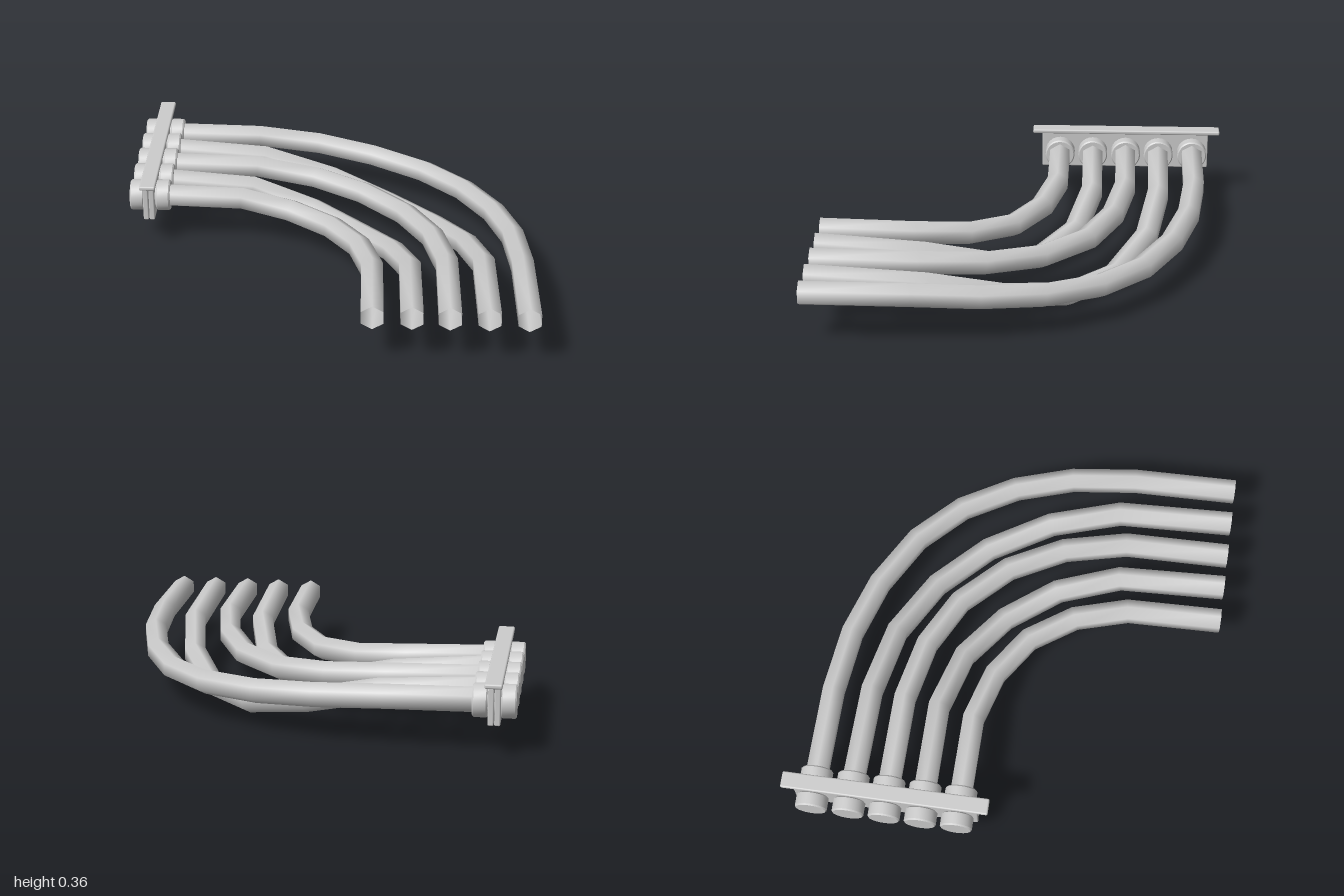
import * as THREE from 'three';
import { toCreasedNormals } from 'three/addons/utils/BufferGeometryUtils.js';
import { RoundedBoxGeometry } from 'three/addons/geometries/RoundedBoxGeometry.js';

const Y = 0.24; // height of the pipe ends
const X = -0.9; // centre of the clamp

// Plan path of each pipe as x, z pairs, and how far its middle sags
const PIPES = [
  { sag: 0.065, plan: [X, -0.852, -0.39, -0.845, -0.07, -0.807, 0.22, -0.717, 0.49, -0.567, 0.69, -0.365, 0.83, -0.107, 0.91, 0.177, 0.94, 0.495, 0.947, 1] },
  { sag: 0.195, plan: [X, -0.673, -0.353, -0.662, 0, -0.598, 0.303, -0.443, 0.535, -0.21, 0.688, 0.095, 0.76, 0.44, 0.767, 1] },
  { sag: 0.06, plan: [X, -0.498, -0.378, -0.492, -0.075, -0.43, 0.178, -0.302, 0.388, -0.085, 0.52, 0.183, 0.583, 0.49, 0.588, 1] },
  { sag: 0.165, plan: [X, -0.322, -0.39, -0.322, -0.08, -0.243, 0.16, -0.07, 0.328, 0.175, 0.408, 0.48, 0.415, 1] },
  { sag: 0.055, plan: [X, -0.147, -0.435, -0.143, -0.185, -0.072, 0.025, 0.068, 0.163, 0.28, 0.228, 0.538, 0.235, 1] },
];

// Open tube with one mitred ring at each path point
function pipeGeometry(path, radius, sides) {
  const positions = [], index = [];
  const up = new THREE.Vector3(0, 1, 0);
  const last = path.length - 1;
  path.forEach((p, i) => {
    const before = p.clone().sub(path[Math.max(i - 1, 0)]).normalize();
    const after = path[Math.min(i + 1, last)].clone().sub(p).normalize();
    const dir = before.add(after).normalize();
    if (i === last) dir.set(0, 0, 1);
    const side = dir.clone().cross(up).normalize();
    const top = side.clone().cross(dir);
    for (let k = 0; k < sides; k++) {
      const a = (k / sides) * Math.PI * 2;
      const v = p.clone().addScaledVector(top, Math.cos(a) * radius).addScaledVector(side, Math.sin(a) * radius);
      positions.push(v.x, v.y, v.z);
      if (i < last) {
        const n = (k + 1) % sides, r = i * sides, s = r + sides;
        index.push(r + k, r + n, s + k, r + n, s + n, s + k);
      }
    }
  });
  const g = new THREE.BufferGeometry();
  g.setAttribute('position', new THREE.Float32BufferAttribute(positions, 3));
  g.setIndex(index);
  g.computeVertexNormals();
  return g;
}

export function createModel() {
  const group = new THREE.Group();
  const solid = new THREE.MeshStandardMaterial({ color: 0xcccccc });
  const open = new THREE.MeshStandardMaterial({ color: 0xcccccc, side: THREE.DoubleSide });
  const add = (name, geometry, material, x, y, z) => {
    const mesh = new THREE.Mesh(geometry, material);
    mesh.name = name;
    mesh.position.set(x, y, z);
    group.add(mesh);
  };

  // Collar: two chamfered rims with a groove for the clamp plates
  const profile = [[0, -0.1], [0.072, -0.1], [0.078, -0.093], [0.078, -0.037], [0.07, -0.03],
    [0.07, 0.03], [0.078, 0.037], [0.078, 0.093], [0.072, 0.1], [0, 0.1]];
  const lathe = new THREE.LatheGeometry(profile.map(([r, h]) => new THREE.Vector2(r, h)), 24);
  const collar = toCreasedNormals(lathe.rotateZ(-Math.PI / 2), 0.5);

  // Curved, sagging pipes, each held by a collar
  PIPES.forEach(({ sag, plan }) => {
    const path = [], n = plan.length / 2 - 1;
    for (let i = 0; i <= n; i++) {
      const drop = sag * Math.sin((Math.PI * i) / n) ** 2;
      path.push(new THREE.Vector3(plan[2 * i], Y - drop, plan[2 * i + 1]));
    }
    add('pipe', pipeGeometry(path, 0.06, 6), open, 0, 0, 0);
    add('collar', collar, solid, X, 0.238, plan[1]);
  });

  // Clamp: twin upright plates under a top rail
  for (const side of [-1, 1]) {
    add('clampPlate', new RoundedBoxGeometry(0.027, 0.195, 0.89, 2, 0.006), solid, X - 0.002 + side * 0.015, 0.2425, -0.495);
  }
  add('topRail', new RoundedBoxGeometry(0.08, 0.022, 1, 2, 0.008), solid, X, 0.345, -0.5);
  return group;
}
